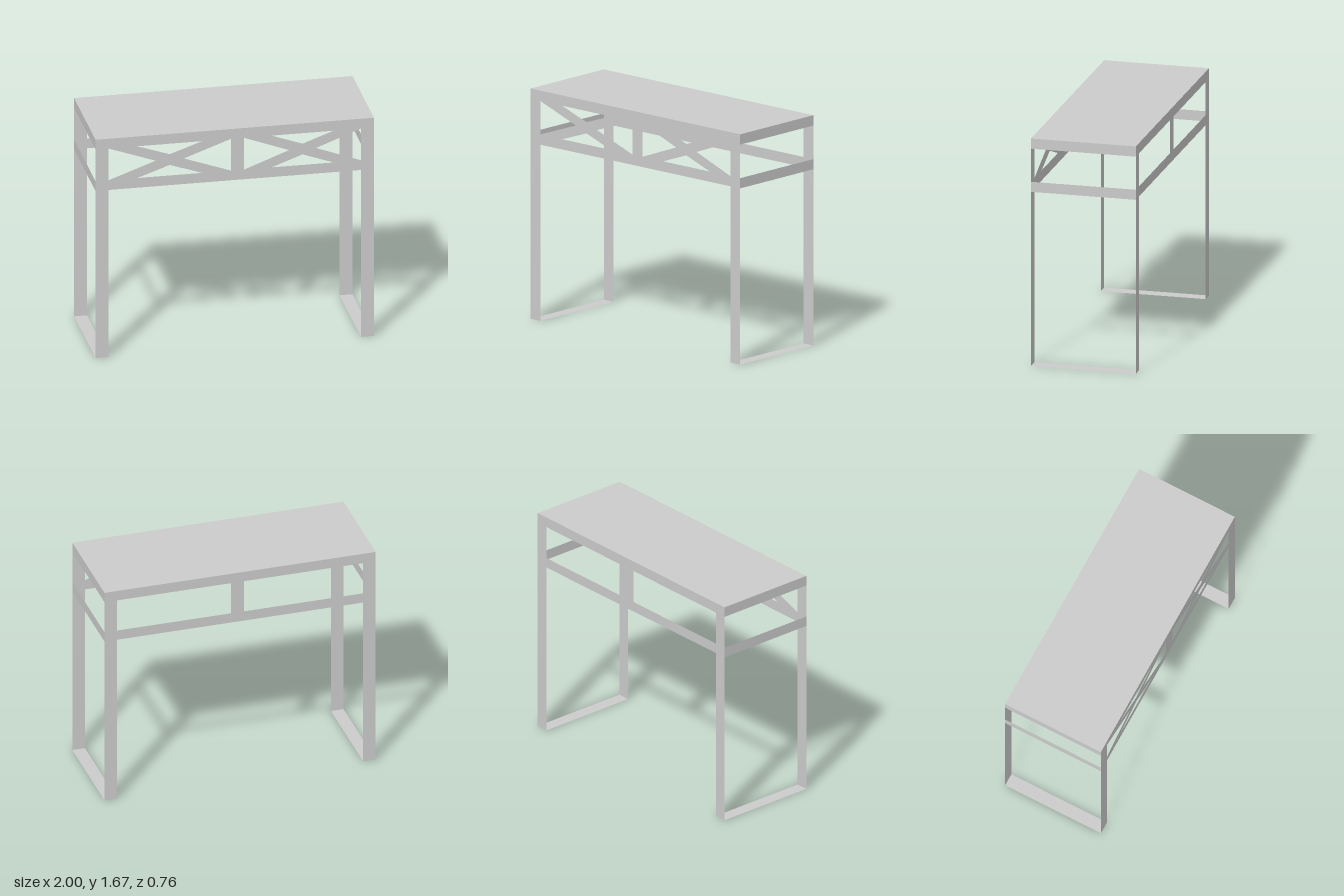
import * as THREE from 'three';

const HALF_D = 0.382;                 // half depth
const TOP = 1.67, RAIL_TOP = 1.595;   // top rail
const LOW_TOP = 1.352, LOW = 1.278;   // lower rail
const INNER = 0.907;                  // inner edge of the legs
const POST = [-0.027, 0.067];         // centre post
const CELLS = [[-INNER, POST[0]], [POST[1], INNER]];

const material = new THREE.MeshStandardMaterial({ color: 0xcccccc, side: THREE.DoubleSide });

const points = (list) => list.map(([x, y]) => new THREE.Vector2(x, y));

// The four triangular openings around an X brace
function braceHoles([x0, x1]) {
  const w = x1 - x0, cx = (x0 + x1) / 2, cy = (LOW_TOP + RAIL_TOP) / 2;
  const inset = w * 0.235, reach = w * 0.385, gap = 0.041;
  return [
    [[x0, LOW_TOP], [x0 + reach, cy], [x0, RAIL_TOP]],
    [[x1, LOW_TOP], [x1, RAIL_TOP], [x1 - reach, cy]],
    [[x0 + inset, RAIL_TOP], [cx, cy + gap], [x1 - inset, RAIL_TOP]],
    [[x0 + inset, LOW_TOP], [x1 - inset, LOW_TOP], [cx, cy - gap]],
  ];
}

// A single rectangular opening
const openHole = ([x0, x1]) => [[[x0, LOW_TOP], [x1, LOW_TOP], [x1, RAIL_TOP], [x0, RAIL_TOP]]];

// Flat panel: two legs, two rails and a centre post, with the given openings
function framePanel(name, z, holesOf) {
  const shape = new THREE.Shape(points([
    [-1, 0], [-INNER, 0], [-INNER, LOW], [INNER, LOW],
    [INNER, 0], [1, 0], [1, TOP], [-1, TOP],
  ]));
  shape.holes = CELLS.flatMap(holesOf).map((hole) => new THREE.Path(points(hole)));
  const mesh = new THREE.Mesh(new THREE.ShapeGeometry(shape), material);
  mesh.name = name;
  mesh.position.z = z;
  if (z < 0) { // face backwards, keeping x
    mesh.geometry.index.array.reverse();
    mesh.geometry.attributes.normal.array.forEach((v, i, a) => { a[i] = -v; });
  }
  return mesh;
}

// Flat rectangle, rotated to face its direction
function sheet(name, w, h, position, rx, ry) {
  const mesh = new THREE.Mesh(new THREE.PlaneGeometry(w, h), material);
  mesh.name = name;
  mesh.position.set(...position);
  mesh.rotation.set(rx, ry, 0);
  return mesh;
}

export function createModel() {
  const group = new THREE.Group();
  group.name = 'consoleTable';

  group.add(framePanel('frontFrame', HALF_D, braceHoles));
  group.add(framePanel('backFrame', -HALF_D, openHole));
  group.add(sheet('tableTop', 2, 2 * HALF_D, [0, TOP, 0], -Math.PI / 2, 0));

  // Side rails and floor runners
  for (const [side, s] of [['left', 1], ['right', -1]]) {
    for (const [part, y0, y1] of [['UpperRail', RAIL_TOP, TOP], ['LowerRail', LOW, LOW_TOP]]) {
      group.add(sheet(side + part, 2 * HALF_D, y1 - y0, [s, (y0 + y1) / 2, 0], 0, s * Math.PI / 2));
    }
    group.add(sheet(side + 'FloorRunner', 1 - INNER, 2 * HALF_D,
      [s * (1 + INNER) / 2, 0, 0], Math.PI / 2, 0));
  }
  return group;
}
